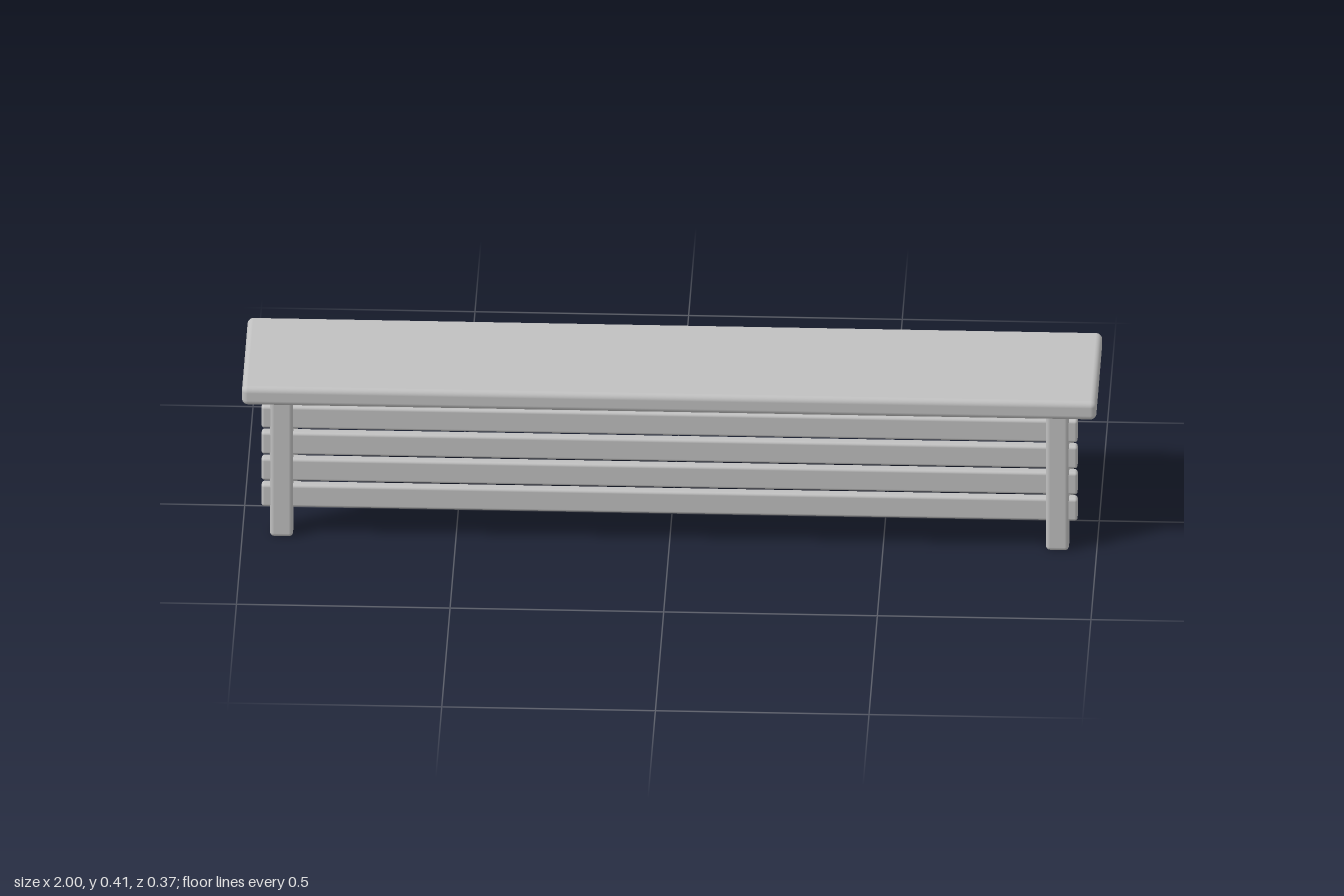
import * as THREE from 'three';
import { RoundedBoxGeometry } from 'three/addons/geometries/RoundedBoxGeometry.js';

export function createModel() {
  const bench = new THREE.Group();
  bench.name = 'bench';
  const grey = new THREE.MeshStandardMaterial({ color: 0xc0c0c0 });
  grey.name = 'grey';

  function block(name, [w, h, d], [x, y, z], radius) {
    const mesh = new THREE.Mesh(new RoundedBoxGeometry(w, h, d, 4, radius), grey);
    mesh.name = name;
    mesh.position.set(x, y, z);
    bench.add(mesh);
  }

  // Seat plank
  block('seat', [2, 0.048, 0.366], [0, 0.381, 0], 0.014);

  // Four legs, running slightly into the seat
  for (const x of [-0.908, 0.908]) {
    block('frontLeg', [0.054, 0.366, 0.057], [x, 0.183, 0.13], 0.01);
    block('backLeg', [0.054, 0.366, 0.057], [x, 0.183, -0.13], 0.01);
  }

  // Four rails passing through the front legs
  for (let i = 0; i < 4; i++) {
    block('frontRail', [1.91, 0.058, 0.027], [0, 0.1055 + i * 0.0688, 0.1385], 0.007);
  }

  return bench;
}
